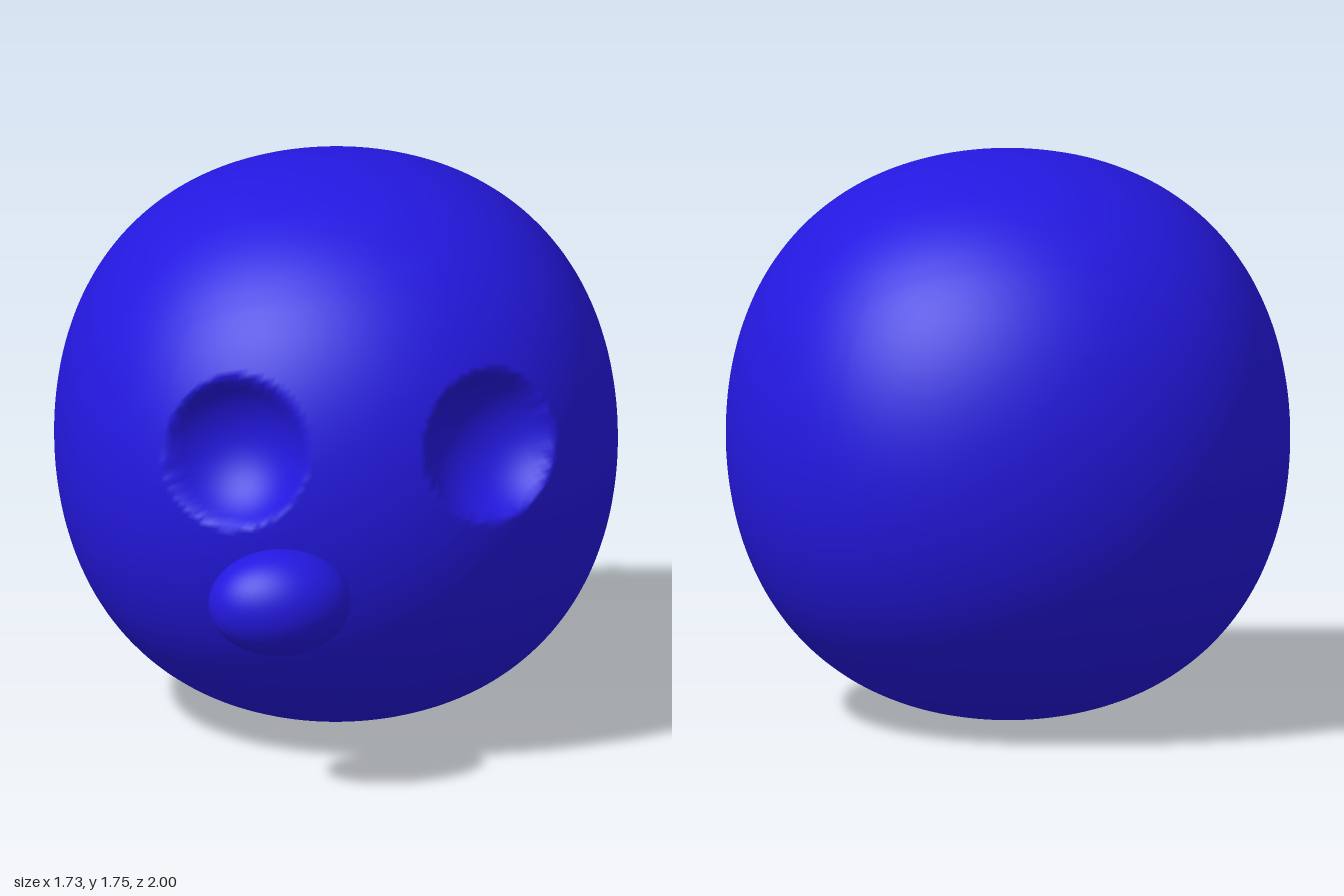
import * as THREE from 'three';
import { mergeVertices } from 'three/addons/utils/BufferGeometryUtils.js';

const CENTER = new THREE.Vector3(0, 0.877, -0.125);
const RADII = new THREE.Vector3(0.866, 0.877, 0.875);
const SOCKET_RADIUS = 0.27;
const SOCKET_DISTANCE = 1.008;

// Rounded-cube ball: slightly fuller towards the edges and corners.
function headGeometry() {
  const box = new THREE.BoxGeometry(2, 2, 2, 72, 72, 28);
  box.deleteAttribute('normal');
  box.deleteAttribute('uv');
  const geometry = mergeVertices(box);
  const sockets = [-1, 1].map((side) =>
    new THREE.Vector3(0.452 * side, 0.193, 0.871).normalize().multiplyScalar(SOCKET_DISTANCE));
  const p = geometry.attributes.position;
  const d = new THREE.Vector3();
  const v = new THREE.Vector3();
  for (let i = 0; i < p.count; i++) {
    // Even out the grid angles before projecting onto the ball
    d.fromBufferAttribute(p, i);
    d.set(...d.toArray().map((c) => Math.tan(c * Math.PI / 4))).normalize();
    const bulge = 1 + 0.06 * (1 - d.x ** 4 - d.y ** 4 - d.z ** 4);
    v.copy(d).multiply(RADII).multiplyScalar(bulge);
    let r = v.length();
    d.copy(v).normalize();
    // Press the surface in to the near wall of each eye-socket sphere
    for (const s of sockets) {
      const along = d.dot(s);
      const h = SOCKET_RADIUS ** 2 - (s.lengthSq() - along * along);
      if (along > 0 && h > 0) r = Math.min(r, along - Math.sqrt(h));
    }
    v.copy(d).multiplyScalar(r).add(CENTER);
    p.setXYZ(i, v.x, v.y, v.z);
  }
  geometry.computeVertexNormals();
  return geometry;
}

export function createModel() {
  const group = new THREE.Group();
  const blue = new THREE.MeshStandardMaterial({ color: 0x2418e0 });

  // Head with two hollow eye sockets
  const head = new THREE.Mesh(headGeometry(), blue);
  head.name = 'head';
  group.add(head);

  // Oval nose, set off to the right of the face
  const nose = new THREE.Mesh(new THREE.SphereGeometry(1, 48, 32), blue);
  nose.name = 'nose';
  nose.scale.set(0.22, 0.165, 0.165);
  nose.position.set(-0.282, 0.626, 0.833);
  group.add(nose);

  return group;
}
